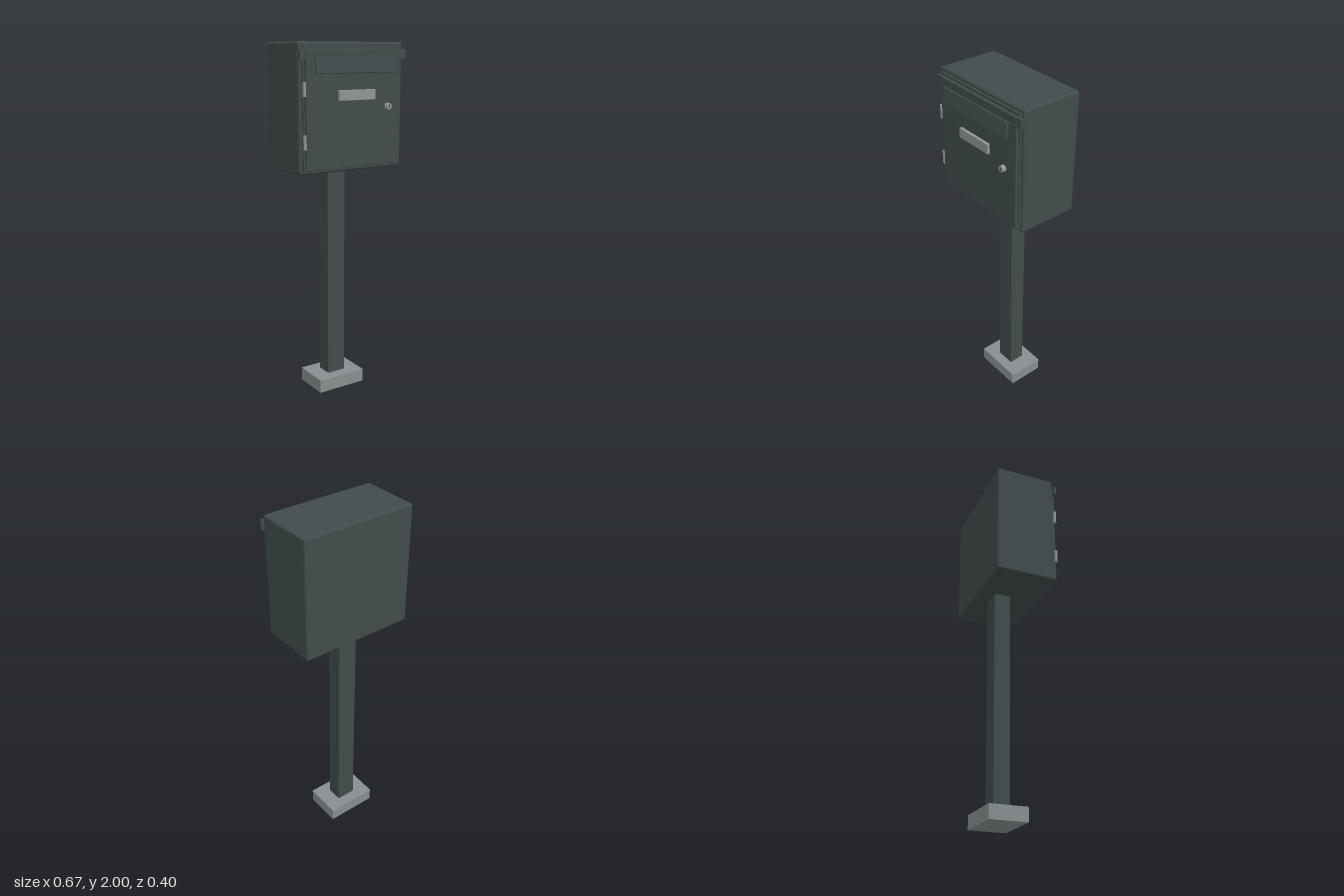
import * as THREE from 'three';
import { RoundedBoxGeometry } from 'three/addons/geometries/RoundedBoxGeometry.js';

export function createModel() {
  const model = new THREE.Group();
  const material = (name, color) => {
    const m = new THREE.MeshStandardMaterial({ color });
    m.name = name;
    return m;
  };
  const paint = material('dark green grey paint', 0x414b4b);
  const concrete = material('concrete grey', 0x878e8f);
  const metal = material('bare metal', 0x8f9495);

  const add = (name, geometry, mat, x, y, z) => {
    const mesh = new THREE.Mesh(geometry, mat);
    mesh.name = name;
    mesh.position.set(x, y, z);
    model.add(mesh);
    return mesh;
  };
  // Box given by its limits on each axis; a radius rounds its edges
  const block = (name, mat, [x0, x1], [y0, y1], [z0, z1], r = 0) => {
    const size = [x1 - x0, y1 - y0, z1 - z0];
    const geometry = r ? new RoundedBoxGeometry(...size, 3, r) : new THREE.BoxGeometry(...size);
    return add(name, geometry, mat, (x0 + x1) / 2, (y0 + y1) / 2, (z0 + z1) / 2);
  };

  // Foot and post
  block('footing', concrete, [-0.15, 0.15], [0, 0.08], [-0.167, 0.05], 0.003);
  block('post', paint, [-0.057, 0.057], [0.002, 1.33], [-0.107, -0.012], 0.003);

  // Letter box body
  block('body', paint, [-0.33, 0.33], [1.32, 2], [-0.2, 0.145], 0.014);

  // Door frame and door leaf
  block('doorFrame', paint, [-0.31, 0.31], [1.338, 1.978], [0.14, 0.156]);
  block('door', paint, [-0.301, 0.301], [1.343, 1.962], [0.15, 0.171], 0.004);

  // Rain strip across the top with turned-back ends
  block('rainStrip', paint, [-0.335, 0.335], [1.91, 1.964], [0.153, 0.169], 0.003);

  // Mail slot with its tilted flap
  block('slotBacking', paint, [-0.245, 0.245], [1.85, 1.918], [0.165, 0.174]);
  const flap = block('slotFlap', paint, [-0.254, 0.254], [1.84, 1.925], [0.18, 0.192], 0.003);
  flap.rotation.x = -0.16;

  // Name plate on its holder
  block('namePlateHolder', paint, [-0.1, 0.1], [1.708, 1.747], [0.17, 0.182]);
  block('namePlate', metal, [-0.115, 0.115], [1.7, 1.755], [0.18, 0.197], 0.003);

  // Lock cylinder with key slot
  const lock = add('lock', new THREE.CylinderGeometry(0.017, 0.019, 0.022, 24), metal, 0.212, 1.66, 0.181);
  lock.rotation.x = Math.PI / 2;
  block('keySlot', paint, [0.209, 0.215], [1.65, 1.67], [0.19, 0.194]);

  // Hinges on the door's right edge
  for (const y of [1.763, 1.493]) {
    add('hinge', new THREE.CylinderGeometry(0.009, 0.009, 0.075, 16), metal, -0.308, y, 0.167);
  }

  return model;
}
